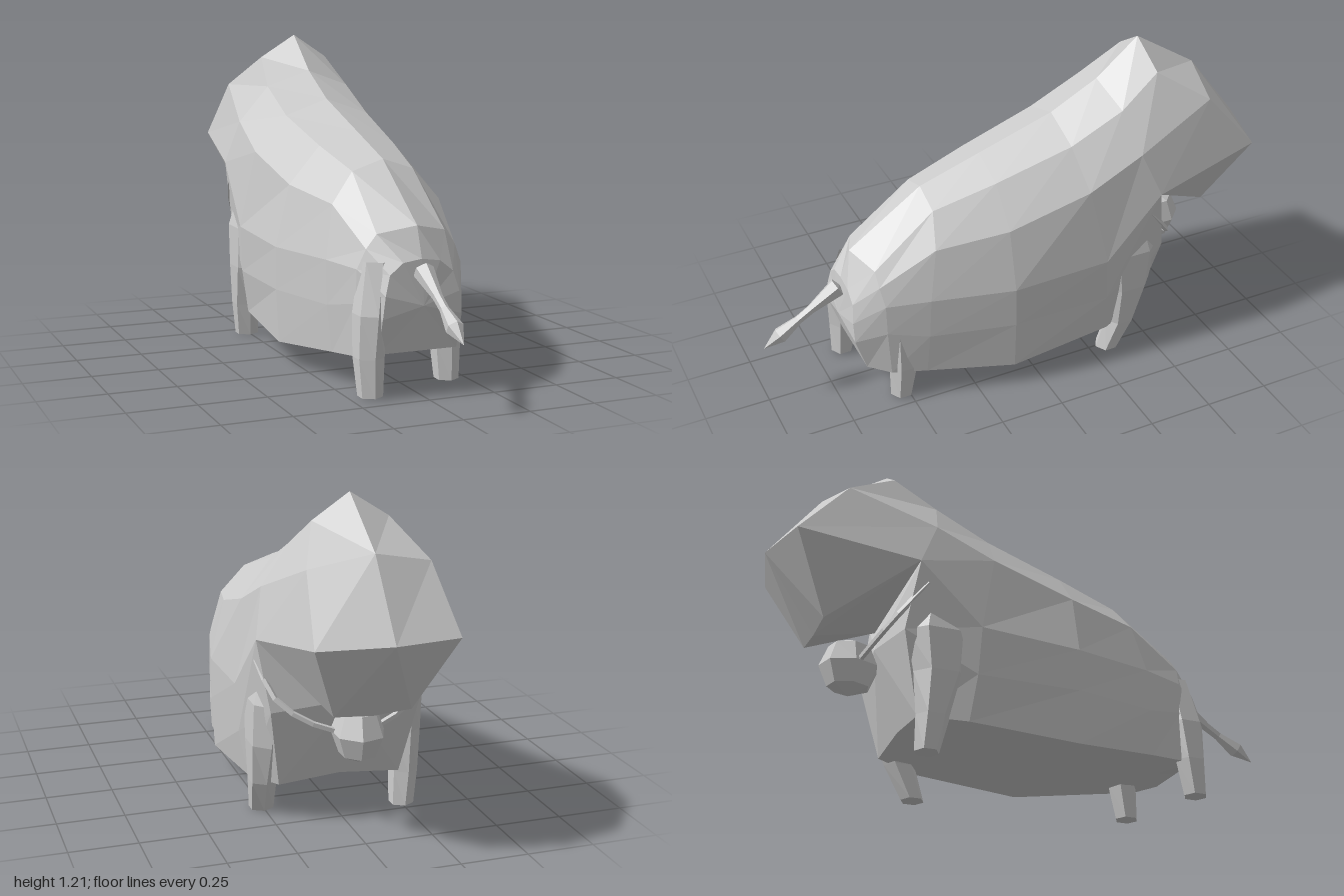
import * as THREE from 'three';

const material = new THREE.MeshStandardMaterial({ color: 0xcccccc, flatShading: true, side: THREE.DoubleSide });

// Mirrors a half cross-section (top centre, down the +x side, bottom centre) into a closed ring
const mirrored = (half) => [...half, ...half.slice(1, -1).reverse().map(([x, y, z]) => [-x, y, z])];

// Skins closed rings of equal length, leaving out collapsed triangles
function loft(rings) {
  const positions = [];
  const same = (p, q) => p.every((v, i) => v === q[i]);
  const tri = (a, b, c) => {
    if (!same(a, b) && !same(b, c) && !same(a, c)) positions.push(...a, ...b, ...c);
  };
  for (let i = 0; i < rings.length - 1; i++) {
    const n = rings[i].length;
    for (let j = 0; j < n; j++) {
      const k = (j + 1) % n;
      tri(rings[i][j], rings[i][k], rings[i + 1][j]);
      tri(rings[i][k], rings[i + 1][k], rings[i + 1][j]);
    }
  }
  const geometry = new THREE.BufferGeometry();
  geometry.setAttribute('position', new THREE.Float32BufferAttribute(positions, 3));
  geometry.computeVertexNormals();
  return geometry;
}

// Six-sided horizontal ring for a leg
function legRing([x, y, z, rx, rz]) {
  return Array.from({ length: 6 }, (_, i) => {
    const a = (i + 0.5) * Math.PI / 3;
    return [x + Math.cos(a) * rx, y, z - Math.sin(a) * rz];
  });
}

// Leg on one side, closed at the sole; its top ends inside the body
function leg(side, rings) {
  const [x, y, z] = rings[0];
  return loft([Array(6).fill([side * x, y, z]), ...rings.map(([rx, ...rest]) => legRing([side * rx, ...rest]))]);
}

export function createModel() {
  const model = new THREE.Group();
  const add = (name, geometry) => {
    const mesh = new THREE.Mesh(geometry, material);
    mesh.name = name;
    model.add(mesh);
    return mesh;
  };

  // Body, from rump to chest, with an arched belly
  const neck = [[0, 1.08, -0.38], [0.17, 1.02, -0.4], [0.28, 0.88, -0.43], [0.32, 0.71, -0.5]];
  const sections = [
    [[0, 0.49, 0.68], [0.07, 0.48, 0.68], [0.12, 0.44, 0.68], [0.14, 0.37, 0.69], [0.15, 0.29, 0.69], [0.15, 0.16, 0.65], [0, 0.16, 0.65]],
    [[0, 0.6, 0.64], [0.13, 0.57, 0.59], [0.17, 0.52, 0.59], [0.2, 0.45, 0.58], [0.205, 0.33, 0.58], [0.2, 0.14, 0.57], [0, 0.155, 0.57]],
    [[0, 0.8, 0.35], [0.12, 0.76, 0.35], [0.21, 0.65, 0.38], [0.25, 0.46, 0.42], [0.25, 0.3, 0.43], [0.235, 0.13, 0.44], [0, 0.16, 0.44]],
    [[0, 0.88, 0.11], [0.15, 0.83, 0.11], [0.27, 0.69, 0.11], [0.325, 0.46, 0.11], [0.325, 0.3, 0.11], [0.315, 0.1, 0.11], [0, 0.16, 0.11]],
    [[0, 0.98, -0.19], [0.17, 0.92, -0.19], [0.29, 0.78, -0.21], [0.335, 0.48, -0.27], [0.325, 0.3, -0.28], [0.295, 0.13, -0.3], [0, 0.16, -0.3]],
    [...neck, [0.28, 0.45, -0.54], [0.23, 0.15, -0.47], [0, 0.17, -0.47]],
  ].map(mirrored);
  const point = (p) => Array(12).fill(p);
  add('body', loft([point([0, 0.33, 0.7]), ...sections, point([0, 0.48, -0.57])]));

  // Head: neck to face rim, then the two-plane face with a centre ridge
  const crown = [0, 1.22, -0.55], brow = [0, 1.06, -0.8], nose = [0, 0.8, -1], chin = [0, 0.5, -0.8];
  add('head', loft([
    [...neck, neck[3], [0, 0.55, -0.57]],
    [crown, [0.14, 1.13, -0.56], [0.22, 1.01, -0.75], [0.255, 0.79, -0.94], [0.14, 0.51, -0.8], chin],
    [crown, brow, brow, nose, nose, chin],
  ].map(mirrored)));

  // Hind legs, stepped apart, with thighs that merge into the rump
  for (const [side, name, z] of [[1, 'leftHindLeg', 0.525], [-1, 'rightHindLeg', 0.64]]) {
    add(name, leg(side, [
      [0.175, 0.015, z, 0.045, 0.045],
      [0.175, 0.15, z - 0.015, 0.055, 0.06],
      [0.165, 0.3, z - 0.025, 0.06, 0.075],
      [0.13, 0.48, z - 0.05, 0.06, 0.06],
    ]));
  }

  // Front legs, with shoulders that widen upwards into the chest
  for (const [side, name, foot, ankle] of [[1, 'leftFrontLeg', -0.325, -0.375], [-1, 'rightFrontLeg', -0.44, -0.425]]) {
    add(name, leg(side, [
      [0.255, 0.01, foot, 0.047, 0.045],
      [0.265, 0.14, ankle, 0.053, 0.062],
      [0.265, 0.3, -0.4, 0.064, 0.1],
      [0.26, 0.46, -0.4, 0.068, 0.13],
      [0.24, 0.6, -0.4, 0.05, 0.08],
    ]));
  }

  // Tail with a tufted tip
  const tailProfile = [[0, 0], [0.038, 0.01], [0.018, 0.14], [0.017, 0.2], [0.032, 0.29], [0, 0.37]];
  const tail = add('tail', new THREE.LatheGeometry(tailProfile.map((p) => new THREE.Vector2(...p)), 6));
  tail.position.set(0, 0.455, 0.685);
  tail.rotation.x = 2.13;

  // Bell hung on a thin collar under the chin
  const bell = add('bell', new THREE.SphereGeometry(0.112, 7, 4));
  bell.position.set(0, 0.395, -0.66);
  bell.scale.x = 0.85;
  const collar = new THREE.CatmullRomCurve3([
    [0.31, 0.63, -0.465], [0.27, 0.51, -0.56], [0.16, 0.43, -0.62], [0, 0.39, -0.65],
    [-0.16, 0.43, -0.62], [-0.27, 0.51, -0.56], [-0.31, 0.63, -0.465],
  ].map((p) => new THREE.Vector3(...p)));
  add('collar', new THREE.TubeGeometry(collar, 12, 0.011, 4));

  return model;
}
